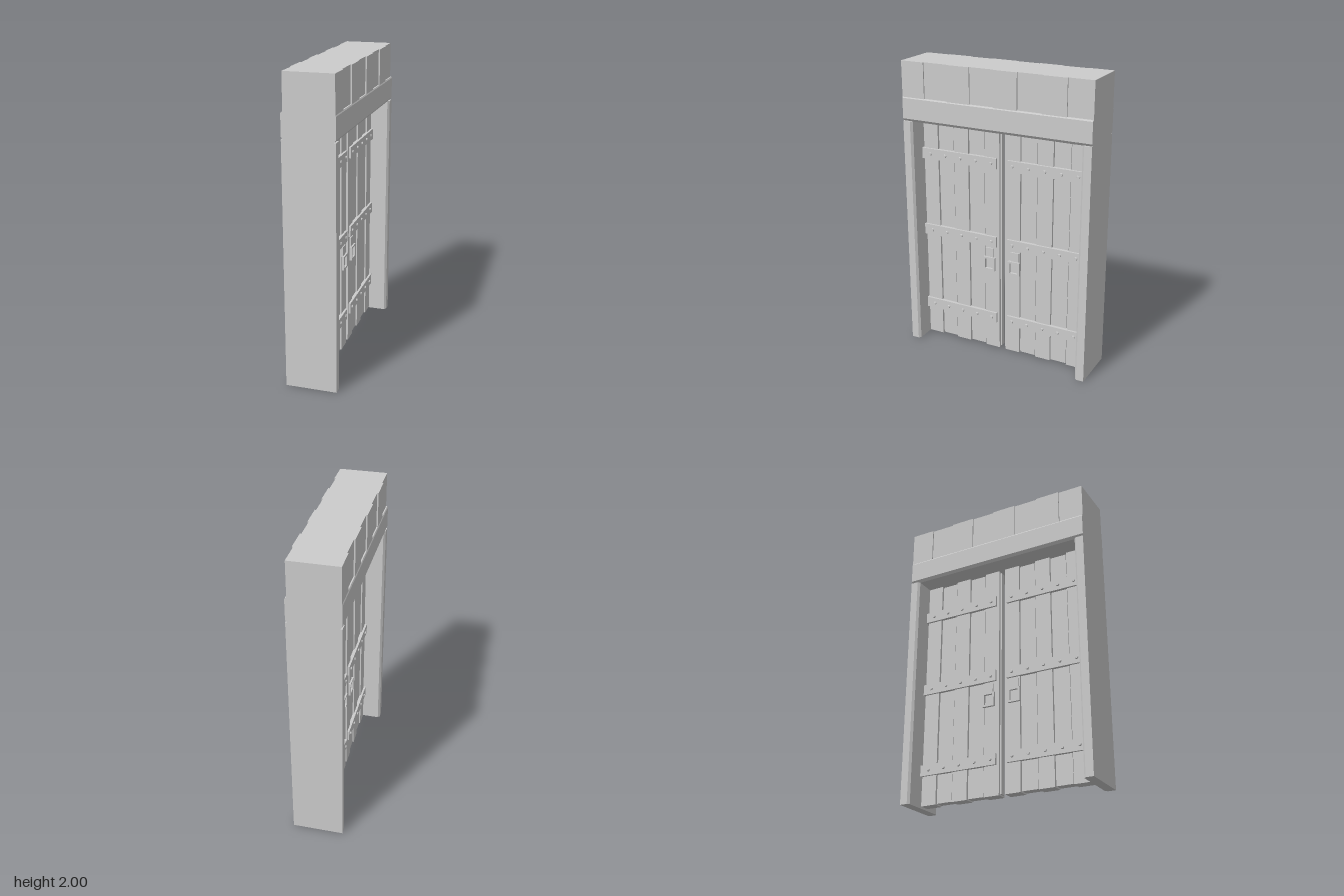
import * as THREE from 'three';

const stoneGrey = new THREE.MeshStandardMaterial({ color: 0xcccccc });
stoneGrey.name = 'plainGrey';

function add(parent, name, geometry, x = 0, y = 0, z = 0) {
  const mesh = new THREE.Mesh(geometry, stoneGrey);
  mesh.name = name;
  mesh.position.set(x, y, z);
  parent.add(mesh);
  return mesh;
}

// Box given by its limits on each axis
function block(parent, name, x0, x1, y0, y1, z0, z1) {
  return add(parent, name, new THREE.BoxGeometry(x1 - x0, y1 - y0, z1 - z0),
    (x0 + x1) / 2, (y0 + y1) / 2, (z0 + z1) / 2);
}

function extrude(points, depth, hole) {
  const shape = new THREE.Shape(points.map(p => new THREE.Vector2(...p)));
  if (hole) shape.holes.push(new THREE.Path(hole.map(p => new THREE.Vector2(...p))));
  return new THREE.ExtrudeGeometry(shape, { depth, bevelEnabled: false });
}

const rect = (w, h) => [[-w / 2, -h / 2], [w / 2, -h / 2], [w / 2, h / 2], [-w / 2, h / 2]];

// Straps, studs and pull handle on one face of a leaf (built facing +x)
function buildIronwork(leaf, side) {
  const iron = new THREE.Group();
  iron.name = 'ironwork';
  leaf.add(iron);
  const span = (name, a, b, ...rest) =>
    block(iron, name, Math.min(a * side, b * side), Math.max(a * side, b * side), ...rest);

  for (const y of [0.243, 0.812, 1.362]) {
    span('strap', 0.02, 0.051, y - 0.037, y + 0.037, 0.04, 0.602);
    for (let i = 0; i < 5; i++) {
      const stud = new THREE.CylinderGeometry(0.009, 0.012, 0.008, 6);
      stud.rotateZ(-side * Math.PI / 2);
      add(iron, 'stud', stud, side * 0.055, y, 0.078 + i * 0.115);
    }
  }

  span('handlePlate', 0.02, 0.046, 0.69, 0.76, 0.064, 0.125);
  const ring = extrude(rect(0.086, 0.096), 0.016, rect(0.058, 0.07));
  ring.translate(0, 0, -0.008);
  ring.rotateY(Math.PI / 2);
  add(iron, 'handleRing', ring, side * 0.049, 0.648, 0.093);
}

function buildLeaf() {
  const leaf = new THREE.Group();
  leaf.name = 'doorLeaf';
  block(leaf, 'backingBoard', -0.02, 0.02, 0.02, 1.585, 0.012, 0.6);
  // Alternating proud and recessed planks
  for (let i = 0; i < 5; i++) {
    const proud = i % 2 === 0;
    const z = 0.076 + i * 0.1155;
    const half = proud ? 0.054 : 0.055;
    const t = proud ? 0.037 : 0.029;
    block(leaf, 'plank', -t, t, proud ? 0.01 : 0.015, proud ? 1.595 : 1.588, z - half, z + half);
  }
  buildIronwork(leaf, 1);
  buildIronwork(leaf, -1);
  return leaf;
}

// Post with chamfered inner corners
function buildPost(parent) {
  const geometry = extrude([
    [-0.167, -0.665], [0.167, -0.665], [0.167, -0.614], [0.153, -0.6],
    [-0.153, -0.6], [-0.167, -0.614],
  ], 1.604);
  geometry.rotateX(-Math.PI / 2);
  add(parent, 'post', geometry);
}

export function createModel() {
  const gate = new THREE.Group();
  gate.name = 'gate';

  // Each half holds one post, one leaf and one face of the parapet
  for (const turn of [0, Math.PI]) {
    const half = new THREE.Group();
    half.name = 'gateHalf';
    half.rotation.y = turn;
    gate.add(half);
    buildPost(half);
    half.add(buildLeaf());
    for (let k = 0; k < 4; k++) {
      const z = 0.665 - k * 0.3325;
      block(half, 'parapetBlock', 0.14, 0.163, 1.75, 2, z - 0.164, z);
    }
  }

  // Lintel: projecting band with small chamfers below a recessed parapet
  const right = [[0.153, 1.602], [0.167, 1.62], [0.167, 1.757], [0.162, 1.765], [0.154, 1.765], [0.154, 2]];
  const left = right.map(([x, y]) => [-x, y]).reverse();
  const lintel = extrude([...right, ...left], 1.33);
  lintel.translate(0, 0, -0.665);
  add(gate, 'lintel', lintel);

  return gate;
}
